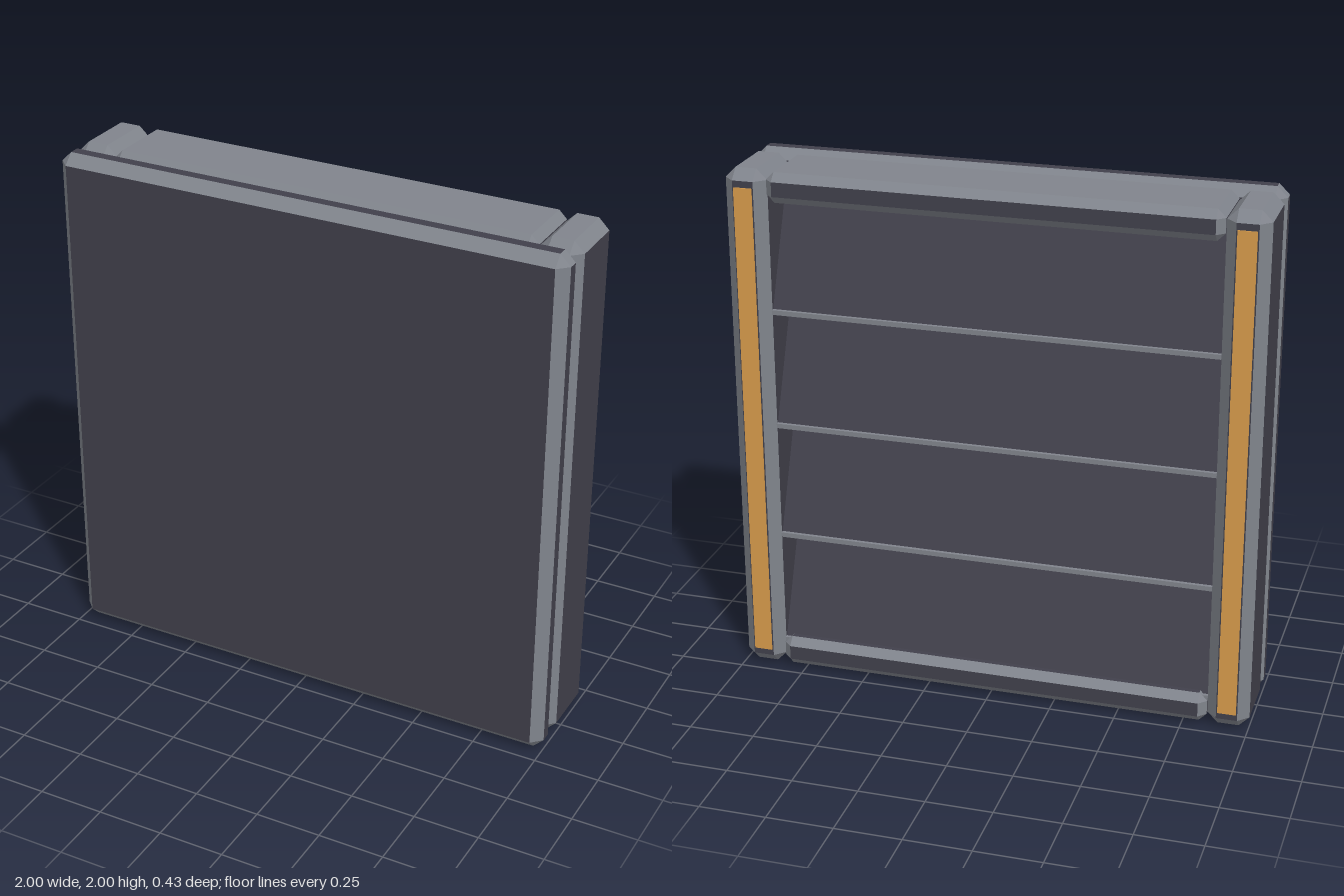
import * as THREE from 'three';
import { ConvexGeometry } from 'three/addons/geometries/ConvexGeometry.js';

const material = (name, color) => {
  const m = new THREE.MeshStandardMaterial({ color });
  m.name = name;
  return m;
};

// Box with bevelled edges; isTrim(axis, sign) picks flat faces that share the bevel colour.
function bevelledBox(name, min, max, bevel, face, trim, isTrim = () => false) {
  const points = [];
  for (let corner = 0; corner < 8; corner++) {
    for (let axis = 0; axis < 3; axis++) {
      const p = [0, 1, 2].map((i) => {
        const high = (corner >> i) & 1;
        const inset = i === axis ? 0 : bevel;
        return high ? max[i] - inset : min[i] + inset;
      });
      points.push(new THREE.Vector3(...p));
    }
  }
  const hull = new ConvexGeometry(points);
  const pos = hull.attributes.position, nor = hull.attributes.normal;
  const sets = [[], []];
  for (let i = 0; i < pos.count; i += 3) {
    const n = [nor.getX(i), nor.getY(i), nor.getZ(i)];
    const axis = n.findIndex((v) => Math.abs(v) > 0.99);
    const set = axis < 0 || isTrim(axis, Math.sign(n[axis])) ? 1 : 0;
    sets[set].push(i, i + 1, i + 2);
  }
  hull.setIndex([...sets[0], ...sets[1]]);
  hull.addGroup(0, sets[0].length, 0);
  hull.addGroup(sets[0].length, sets[1].length, 1);
  const mesh = new THREE.Mesh(hull, [face, trim]);
  mesh.name = name;
  return mesh;
}

export function createModel() {
  const dark = material('dark panel', 0x41404b);
  const grey = material('grey edging', 0x80848c);
  const amber = material('amber strip', 0xd89c4c);
  const model = new THREE.Group();
  model.name = 'louvredPanel';

  const box = (name, size, at, mat) => {
    const mesh = new THREE.Mesh(new THREE.BoxGeometry(...size), mat);
    mesh.name = name;
    mesh.position.set(...at);
    model.add(mesh);
  };

  // Front slab
  model.add(bevelledBox('frontPanel', [-1, 0, 0.09], [1, 2, 0.21], 0.04, dark, grey));

  // Side posts, each with an amber strip down its back
  for (const [side, x] of [['right', -0.92], ['left', 0.92]]) {
    model.add(bevelledBox(side + 'Post', [x - 0.08, 0, -0.21], [x + 0.08, 2, 0.09], 0.04,
      dark, grey, (axis) => axis === 1));
    box(side + 'Strip', [0.07, 1.87, 0.008], [x, 1, -0.211], amber);
  }

  // Top and bottom rails
  model.add(bevelledBox('topRail', [-0.84, 1.88, -0.21], [0.84, 1.995, 0.09], 0.03,
    dark, grey, (axis, sign) => axis === 1 && sign > 0));
  model.add(bevelledBox('bottomRail', [-0.84, 0.005, -0.21], [0.84, 0.12, 0.09], 0.03, dark, grey));

  // Saw-tooth louvres: each face slopes outward to a tip, with a level underside
  const count = 4, top = 1.9, pitch = 0.452;
  const profile = new THREE.Shape();
  profile.moveTo(-0.09, top);
  for (let i = 0; i < count; i++) {
    const tipY = top - (i + 1) * pitch;
    profile.lineTo(-0.01, top - i * pitch);
    profile.lineTo(0.17, tipY);
    box('louvreLip' + (i + 1), [1.68, 0.018, 0.024], [0, tipY + 0.009, -0.165], grey);
  }
  profile.lineTo(-0.09, top - count * pitch);
  const louvreShape = new THREE.ExtrudeGeometry(profile, { depth: 1.68, bevelEnabled: false });
  louvreShape.translate(0, 0, -0.84).rotateY(Math.PI / 2);
  const louvres = new THREE.Mesh(louvreShape, dark);
  louvres.name = 'louvres';
  model.add(louvres);

  return model;
}
